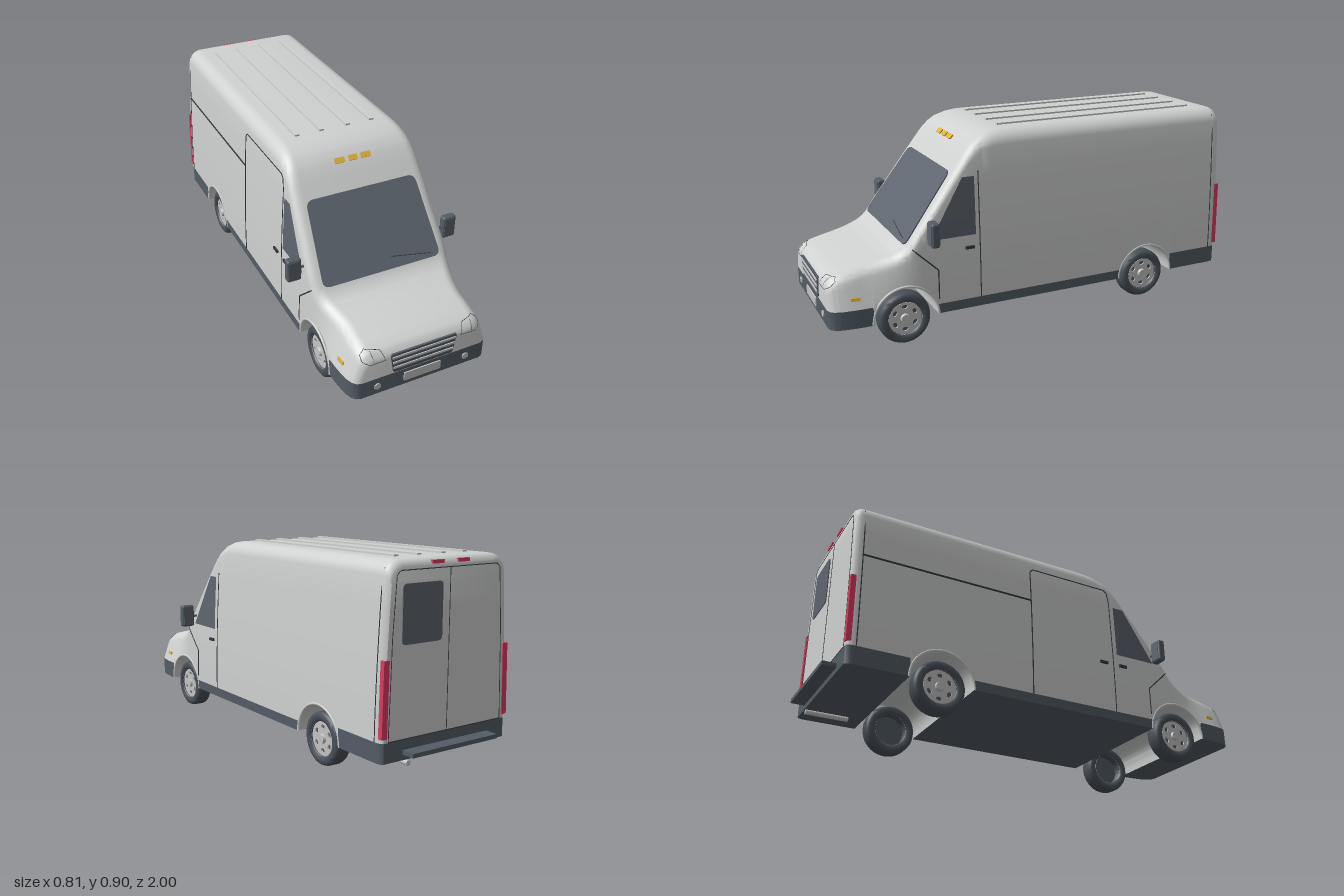
import * as THREE from 'three';
import { toCreasedNormals } from 'three/addons/utils/BufferGeometryUtils.js';
import { RoundedBoxGeometry } from 'three/addons/geometries/RoundedBoxGeometry.js';

const mat = (name, color, side = THREE.FrontSide) => {
  const m = new THREE.MeshStandardMaterial({ color, side });
  m.name = name;
  return m;
};

// Tables of [z, value], front to back
const TOP = [[0.992, 0.295], [0.985, 0.31], [0.965, 0.328], [0.93, 0.342], [0.85, 0.362], [0.75, 0.383],
  [0.7, 0.397], [0.672, 0.412], [0.65, 0.43], [0.43, 0.725], [0.365, 0.811], [0.335, 0.842], [0.3, 0.865],
  [0.25, 0.882], [0.2, 0.889], [0.15, 0.89], [-0.88, 0.89], [-0.915, 0.888], [-0.932, 0.878], [-0.94, 0.862]];
const PLAN = [[0.992, 0.28], [0.985, 0.298], [0.97, 0.312], [0.94, 0.323], [0.88, 0.33], [0.8, 0.333],
  [-0.915, 0.333], [-0.932, 0.328], [-0.94, 0.32]];
const RADIUS = [[0.992, 0.04], [0.7, 0.045], [0.4, 0.048], [0.2, 0.06], [-0.94, 0.06]];
const ARCHES = [0.668, -0.53], ARCH_R = 0.143, FLOOR = 0.122;

const lookup = (table, z) => {
  for (let i = 1; i < table.length; i++) {
    const [za, va] = table[i - 1], [zb, vb] = table[i];
    if (z >= zb) return va + (vb - va) * Math.min(1, (za - z) / (za - zb));
  }
  return table[table.length - 1][1];
};

// Half width of the body at a given length and height, with rounded shoulders
function halfWidth(z, y) {
  const top = lookup(TOP, z), r = lookup(RADIUS, z);
  const rise = Math.max(0, y - 0.2);
  const lean = THREE.MathUtils.smoothstep(z, 0.6, 0.85) * 0.05 * rise / 0.15;
  const wall = lookup(PLAN, z) - 0.033 * Math.pow(rise / 0.69, 1.5) - lean;
  const over = Math.min(r, Math.max(0, y - top + r));
  return wall - r + Math.sqrt(r * r - over * over);
}

// Foremost point of the body behind (x, y)
function frontZ(x, y) {
  let z = 0.992;
  while (z > 0.4 && (y > lookup(TOP, z) || Math.abs(x) > halfWidth(z, y))) z -= 0.001;
  return z;
}

const archAt = z => ARCHES.find(c => Math.abs(z - c) < ARCH_R - 1e-4);

// Body shell lofted along z; returns the painted part and the dark lower part
function bodyShell() {
  let zs = [...TOP, ...PLAN].map(p => p[0]);
  for (let i = 0; i <= 48; i++) zs.push(0.992 - i * 1.932 / 48);
  for (const c of ARCHES) {
    for (let i = 0; i <= 20; i++) zs.push(c + ARCH_R * Math.cos(i * Math.PI / 20));
    zs.push(c + ARCH_R + 0.001, c - ARCH_R - 0.001);
  }
  zs = zs.sort((a, b) => b - a).filter((z, i, l) => i === 0 || l[i - 1] - z > 1e-4);

  const rings = zs.map(z => {
    const c = archAt(z), top = lookup(TOP, z), r = lookup(RADIUS, z);
    const low = c === undefined ? FLOOR : FLOOR + Math.sqrt(ARCH_R ** 2 - (z - c) ** 2);
    const trim = c === undefined ? (z > 0.7 || z < -0.6 ? 0.203 : 0.165) : low;
    const ys = [low, trim];
    for (let i = 1; i <= 6; i++) ys.push(trim + (top - r - trim) * i / 6);
    for (let i = 1; i <= 7; i++) ys.push(top - r + r * Math.sin(i * Math.PI / 14));
    const left = ys.map(y => [-halfWidth(z, y), y, z]);
    return [...left, ...left.map(([x, y]) => [-x, y, z]).reverse()];
  });

  const paint = [], dark = [], M = rings[0].length;
  const quad = (list, a, b, c, d) => list.push(...a, ...b, ...c, ...a, ...c, ...d);
  for (let i = 0; i < rings.length - 1; i++) {
    const p = rings[i], q = rings[i + 1];
    const inArch = archAt((zs[i] + zs[i + 1]) / 2) !== undefined;
    for (let k = 0; k < M; k++) {
      const n = (k + 1) % M;
      const isDark = k === M - 1 ? !inArch : k === 0 || k === M - 2;
      quad(isDark ? dark : paint, p[k], p[n], q[n], q[k]);
    }
  }
  const f = rings[0], b = rings[rings.length - 1];
  for (let k = 0; k < M / 2 - 1; k++) {
    const list = k === 0 ? dark : paint;
    quad(list, f[k], f[M - 1 - k], f[M - 2 - k], f[k + 1]);
    quad(list, b[k], b[k + 1], b[M - 2 - k], b[M - 1 - k]);
  }
  return [paint, dark].map(list => {
    const g = new THREE.BufferGeometry();
    g.setAttribute('position', new THREE.Float32BufferAttribute(list, 3));
    return toCreasedNormals(g, 0.7);
  });
}

// Flat plate with rounded corners from a list of [x, y]
function plate(points, r, depth) {
  const s = new THREE.Shape(), n = points.length;
  const v = points.map(p => new THREE.Vector2(...p));
  v.forEach((c, i) => {
    const a = v[(i + n - 1) % n].clone().sub(c).setLength(r).add(c);
    const b = v[(i + 1) % n].clone().sub(c).setLength(r).add(c);
    i ? s.lineTo(a.x, a.y) : s.moveTo(a.x, a.y);
    s.quadraticCurveTo(c.x, c.y, b.x, b.y);
  });
  return new THREE.ExtrudeGeometry(s, { depth, bevelEnabled: false });
}
const rect = (x0, x1, y0, y1) => [[x0, y0], [x1, y0], [x1, y1], [x0, y1]];

export function createModel() {
  const van = new THREE.Group();
  van.name = 'deliveryVan';
  const paint = mat('bodyPaint', 0xcfd0d0), trim = mat('darkTrim', 0x535c66);
  const glass = mat('tintedGlass', 0x5e656f, THREE.DoubleSide), rubber = mat('tyreRubber', 0x485058);
  const metal = mat('wheelMetal', 0xc4c4c4, THREE.DoubleSide), seamDark = mat('seamDark', 0x363b41);
  const amber = mat('amberLamp', 0xe0b03c), red = mat('redLamp', 0xd83c60);

  const add = (name, geo, m, pos = [0, 0, 0], rot = [0, 0, 0], parent = van) => {
    const mesh = new THREE.Mesh(geo, m);
    mesh.name = name;
    mesh.position.set(...pos);
    mesh.rotation.set(...rot);
    parent.add(mesh);
    return mesh;
  };
  const box = (name, size, m, pos, rot) => add(name, new THREE.BoxGeometry(...size), m, pos, rot);
  // Thin line along corner points, each placed by the function 'on'
  const line = (name, pts, on, r = 0.002, m = seamDark) => {
    const out = [];
    pts.forEach((p, i) => {
      for (let k = 0; i && k < 8; k++) out.push(on(...pts[i - 1].map((v, j) => v + (p[j] - v) * k / 8)));
    });
    out.push(on(...pts[pts.length - 1]));
    const curve = new THREE.CatmullRomCurve3(out, false, 'catmullrom', 0);
    add(name, new THREE.TubeGeometry(curve, out.length * 3, r, 4), m);
  };
  const onSide = s => (z, y) => new THREE.Vector3(s * halfWidth(z, y), y, z);
  const onFront = (x, y) => new THREE.Vector3(x, y, frontZ(x, y));
  const onBack = (x, y) => new THREE.Vector3(x, y, -0.94);

  const [shell, lower] = bodyShell();
  add('body', shell, paint);
  add('lowerTrimAndFloor', lower, trim);

  // Windscreen and wiper
  const tilt = -Math.atan2(0.22, 0.295);
  add('windscreen', plate([[-0.28, -0.182], [0.28, -0.182], [0.257, 0.184], [-0.257, 0.184]], 0.035, 0.005),
    glass, [0, 0.5775, 0.54], [tilt, 0, 0]);
  line('wiper', [[0.05, 0.475], [0.235, 0.45]], (x, y) => new THREE.Vector3(x, y, 0.656 - (y - 0.43) * 0.746));

  // Grille, number plate and roof markers
  add('grille', plate([[-0.138, 0.21], [0.138, 0.21], [0.154, 0.305], [-0.154, 0.305]], 0.012, 0.036), trim, [0, 0, 0.96]);
  [[0.235, 0.277], [0.262, 0.286], [0.289, 0.292]].forEach(([y, w]) =>
    box('grilleBar', [w, 0.01, 0.006], metal, [0, y, 0.997]));
  add('numberPlate', plate(rect(-0.086, 0.086, 0.144, 0.186), 0.005, 0.005), metal, [0, 0, 0.992]);
  [[-0.063, 0.046], [0, 0.04], [0.061, 0.046]].forEach(([x, w]) =>
    add('roofMarker', plate(rect(-w / 2, w / 2, -0.012, 0.012), 0.004, 0.006), amber,
      [x, 0.829, 0.349], [-0.75, 0, 0]));

  // Roof ribs
  for (const x of [-0.18, -0.063, 0.063, 0.18]) box('roofRib', [0.022, 0.014, 1.01], paint, [x, 0.89, -0.325]);

  // Wheel shapes, axis along x with the outer face toward +x
  const tyreProfile = [[0.074, -0.03], [0.082, -0.038], [0.1, -0.038], [0.111, -0.032], [0.115, -0.02],
    [0.115, 0.02], [0.111, 0.032], [0.1, 0.038], [0.082, 0.038], [0.074, 0.03], [0.074, -0.03]];
  const tyre = toCreasedNormals(new THREE.LatheGeometry(tyreProfile.map(p => new THREE.Vector2(...p)), 40), 0.9);
  const barrel = new THREE.CylinderGeometry(0.075, 0.075, 0.066, 36, 1, true);
  const disc = new THREE.Shape().absarc(0, 0, 0.075, 0, Math.PI * 2);
  for (let i = 0; i < 6; i++) {
    const a = i * Math.PI / 3 + 0.52;
    disc.holes.push(new THREE.Path().absellipse(0.051 * Math.cos(a), 0.051 * Math.sin(a), 0.009, 0.013, 0, Math.PI * 2, true, a));
  }
  const rim = new THREE.ExtrudeGeometry(disc, { depth: 0.006, bevelEnabled: false, curveSegments: 16 });

  for (const s of [1, -1]) {
    const side = onSide(s);

    // Wheels and arch lips
    for (const z of ARCHES) {
      const wheel = new THREE.Group();
      wheel.name = 'wheel';
      wheel.position.set(s * 0.279, 0.117, z);
      wheel.rotation.y = s > 0 ? 0 : Math.PI;
      van.add(wheel);
      const axis = [0, 0, -Math.PI / 2];
      add('tyre', tyre, rubber, [0, 0, 0], axis, wheel);
      add('rimBarrel', barrel, metal, [0, 0, 0], axis, wheel);
      add('rimDisc', rim, metal, [0.02, 0, 0], [0, Math.PI / 2, 0], wheel);
      add('rimBacking', new THREE.CylinderGeometry(0.073, 0.073, 0.006, 30), trim, [0.012, 0, 0], axis, wheel);
      add('hub', new THREE.CylinderGeometry(0.018, 0.022, 0.014, 20), metal, [0.03, 0, 0], axis, wheel);
      add('archLip', new THREE.TorusGeometry(ARCH_R + 0.003, 0.006, 8, 32, Math.PI), paint,
        [s * 0.329, FLOOR, z], [0, Math.PI / 2, 0]);
    }

    // Door window following the body side
    const pos = [], idx = [], N = 8;
    for (let i = 0; i <= N; i++) for (let j = 0; j <= N; j++) {
      const y = 0.455 + 0.255 * i / N, front = 0.55 - 0.15 * i / N;
      const z = 0.345 + (front - 0.345) * j / N;
      pos.push(s * (halfWidth(z, y) + 0.004), y, z);
      const a = i * (N + 1) + j, b = a + N + 1;
      if (i < N && j < N) idx.push(...(s > 0 ? [a, b, b + 1, a, b + 1, a + 1] : [a, b + 1, b, a, a + 1, b + 1]));
    }
    const pane = new THREE.BufferGeometry();
    pane.setAttribute('position', new THREE.Float32BufferAttribute(pos, 3));
    pane.setIndex(idx);
    pane.computeVertexNormals();
    add('doorWindow', pane, glass);

    // Panel seams, handle, side marker
    line('fenderSeam', [[0.63, 0.425], [0.52, 0.32], [0.52, 0.19]], side, 0.003);
    line('doorSeam', [[0.325, 0.165], [0.325, 0.73]], side, 0.0025);
    line('rearPillarSeam', [[-0.9, 0.203], [-0.9, 0.86]], side, 0.0025);
    box('doorHandle', [0.012, 0.013, 0.04], seamDark, [s * (halfWidth(0.374, 0.4) + 0.002), 0.4, 0.374]);
    box('sideMarker', [0.01, 0.014, 0.04], amber, [s * halfWidth(0.88, 0.245), 0.245, 0.88], [0, -s * 0.1, s * 0.2]);

    // Headlamp outline and fog lamp
    line('headlampOutline', [[0.173, 0.287], [0.245, 0.285], [0.272, 0.3], [0.27, 0.318], [0.25, 0.334],
      [0.19, 0.328], [0.173, 0.287]].map(([x, y]) => [s * x, y]), onFront, 0.0014);
    line('headlampDivider', [[s * 0.225, 0.289], [s * 0.232, 0.33]], onFront, 0.0012);
    add('fogLamp', new THREE.CylinderGeometry(0.016, 0.016, 0.008, 6), metal, [s * 0.207, 0.162, 0.993], [Math.PI / 2, 0, 0]);

    // Wing mirror
    add('mirrorHousing', new RoundedBoxGeometry(0.064, 0.106, 0.036, 3, 0.01), trim, [s * 0.373, 0.498, 0.553]);
    for (const d of [-1, 1]) add('mirrorFace', plate(rect(-0.024, 0.024, -0.044, 0.044), 0.008, 0.003), glass,
      [s * 0.373, 0.498, 0.553 + d * 0.0185 - 0.0015]);
    add('mirrorArm', new THREE.CylinderGeometry(0.006, 0.006, 0.05, 10), trim, [s * 0.33, 0.495, 0.548], [0, 0, Math.PI / 2]);

    // Rear lamps
    box('tailLamp', [0.026, 0.3, 0.022], red, [s * 0.3165, 0.37, -0.933], [0, 0, s * 0.025]);
    box('highBrakeLamp', [0.06, 0.014, 0.014], red, [s * 0.067, 0.873, -0.936]);
  }

  // Sliding door and rail on the right side only
  line('slidingDoorSeam', [[-0.105, 0.165], [-0.105, 0.785], [-0.09, 0.8], [0.3, 0.8], [0.318, 0.785], [0.325, 0.73]],
    onSide(-1), 0.003);
  line('slidingDoorRail', [[-0.9, 0.63], [-0.105, 0.63]], onSide(-1), 0.005);
  box('slidingDoorHandle', [0.012, 0.013, 0.04], seamDark, [-halfWidth(0.27, 0.4) - 0.002, 0.4, 0.27]);

  // Rear doors, window, step and exhaust
  line('rearDoorOutline', [[-0.298, 0.205], [-0.285, 0.6], [-0.268, 0.835], [-0.25, 0.85], [0.25, 0.85],
    [0.268, 0.835], [0.285, 0.6], [0.298, 0.205], [-0.298, 0.205]], onBack);
  line('rearDoorSplit', [[0, 0.205], [0, 0.85]], onBack);
  add('rearWindow', plate(rect(0.04, 0.24, 0.57, 0.8), 0.02, 0.006), glass, [0, 0, -0.944]);
  box('rearStep', [0.45, 0.018, 0.08], trim, [0, 0.154, -0.96]);
  add('exhaust', new THREE.CylinderGeometry(0.011, 0.011, 0.19, 16), metal, [0.195, 0.105, -0.845], [Math.PI / 2, 0, 0]);
  return van;
}
